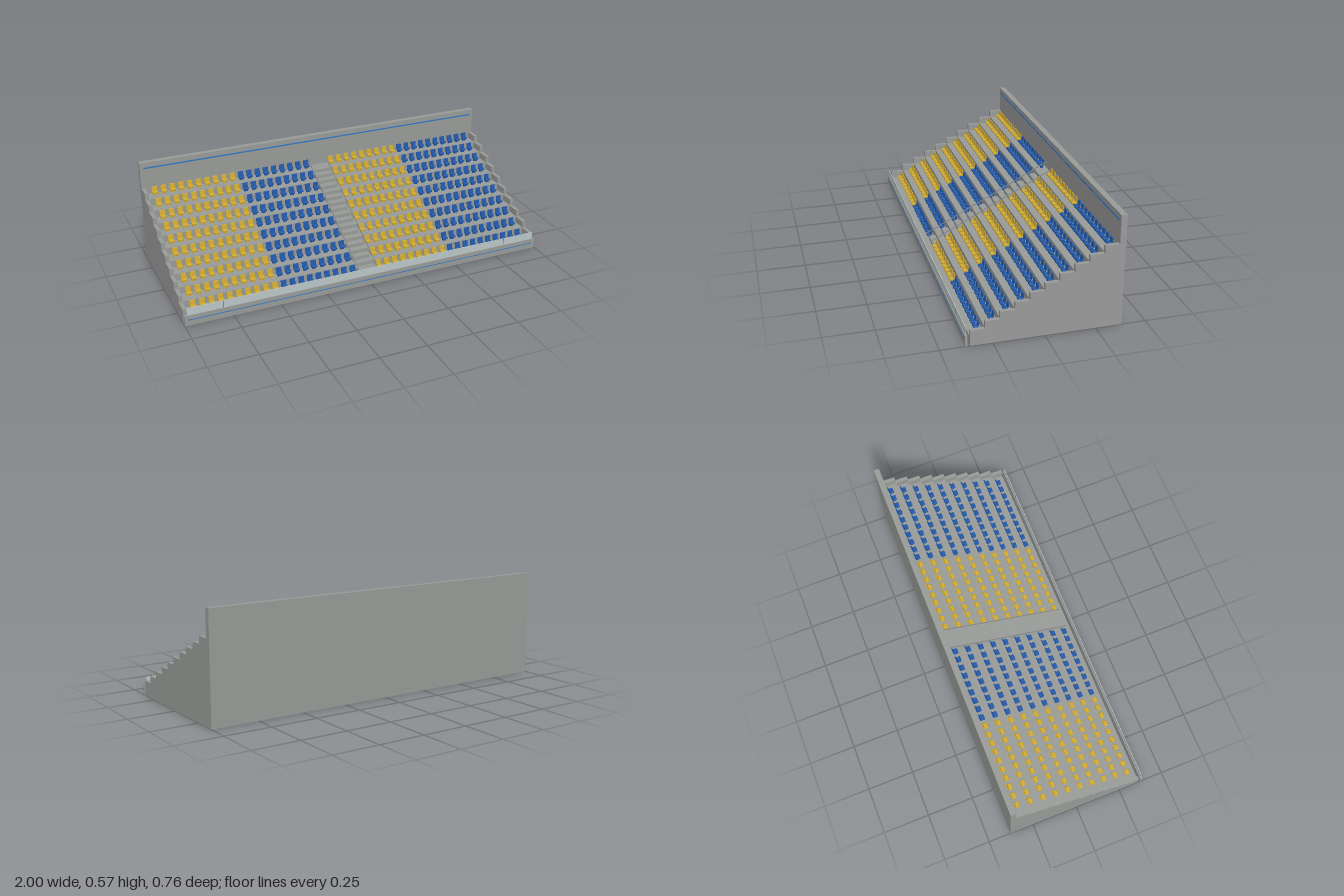
import * as THREE from 'three';
import { mergeGeometries } from 'three/addons/utils/BufferGeometryUtils.js';
import { RoundedBoxGeometry } from 'three/addons/geometries/RoundedBoxGeometry.js';

const ROWS = 10, FRONT = 0.357, DEPTH = 0.0707, RISE = 0.0382;
const BACK = FRONT - ROWS * DEPTH;
const WALL_TOP = 0.08;   // first step of the side walls
const TREAD = 0.045;     // first tread under the seats

const material = (name, color) => {
  const m = new THREE.MeshStandardMaterial({ color });
  m.name = name;
  return m;
};

export function createModel() {
  const group = new THREE.Group();
  const concrete = material('concrete', 0x989a98);
  const yellow = material('seatYellow', 0xd0aa2c);
  const blue = material('seatBlue', 0x1f57a8);
  const stripeBlue = material('stripeBlue', 0x2f74c8);
  const glass = material('paleGlass', 0xbac6c6);
  const metal = material('metal', 0x85898a);

  const add = (name, geometry, mat) => {
    const mesh = new THREE.Mesh(geometry, mat);
    mesh.name = name;
    group.add(mesh);
    return mesh;
  };
  const box = (w, h, d, x, y, z) => new THREE.BoxGeometry(w, h, d).translate(x, y, z);

  // Stepped profile extruded across x
  const stepped = (base, x0, x1) => {
    const s = new THREE.Shape();
    s.moveTo(-FRONT, 0);
    for (let i = 0; i < ROWS; i++) {
      s.lineTo(-FRONT + i * DEPTH, base + i * RISE);
      s.lineTo(-FRONT + (i + 1) * DEPTH, base + i * RISE);
    }
    s.lineTo(-BACK, 0);
    s.closePath();
    return new THREE.ExtrudeGeometry(s, { depth: x1 - x0, bevelEnabled: false })
      .rotateY(Math.PI / 2).translate(x0, 0, 0);
  };
  add('terrace', stepped(TREAD, -0.98, 0.98), concrete);
  add('sideWallRight', stepped(WALL_TOP, -1, -0.98), concrete);
  add('sideWallLeft', stepped(WALL_TOP, 0.98, 1), concrete);

  // Back wall with its painted stripe
  add('backWall', box(2, 0.567, 0.03, 0, 0.2835, -0.365), concrete);
  add('backWallStripe', box(1.96, 0.007, 0.002, 0, 0.537, -0.349), stripeBlue);

  // Front barrier, glass screen and posts
  add('frontBarrier', box(2, 0.055, 0.012, 0, 0.0275, 0.375), concrete);
  add('frontBarrierStripe', box(1.96, 0.004, 0.001, 0, 0.031, 0.3815), stripeBlue);
  add('glassScreen', box(1.97, 0.04, 0.003, 0, 0.075, 0.375), glass);
  for (const x of [-0.8, 0.8]) add('screenPost', box(0.004, 0.04, 0.005, x, 0.075, 0.375), metal);

  // Half steps in the central aisle
  const steps = [];
  for (let i = 0; i < ROWS - 1; i++) {
    const y = TREAD + i * RISE, z = FRONT - (i + 1) * DEPTH;
    steps.push(box(0.1, RISE / 2, DEPTH / 2, 0, y + RISE / 4, z + DEPTH / 4));
  }
  add('aisleSteps', mergeGeometries(steps), concrete);

  // Sloping handrails on both sides of the aisle
  const z0 = 0.335, z1 = -0.35, y0 = 0.078, y1 = 0.43;
  const length = Math.hypot(z0 - z1, y1 - y0);
  for (const x of [-0.053, 0.053]) {
    const rail = add('aisleHandrail', new THREE.BoxGeometry(0.004, 0.004, length), metal);
    rail.position.set(x, (y0 + y1) / 2, (z0 + z1) / 2);
    rail.rotation.x = Math.atan2(y1 - y0, z0 - z1);
  }

  // One seat: pan, leaning backrest and foot
  const seat = mergeGeometries([
    new RoundedBoxGeometry(0.03, 0.011, 0.024, 1, 0.003).translate(0, 0.016, 0.004),
    new RoundedBoxGeometry(0.03, 0.028, 0.006, 1, 0.0025).rotateX(-0.15).translate(0, 0.031, -0.009),
    new RoundedBoxGeometry(0.02, 0.014, 0.012, 1, 0.001).translate(0, 0.006, 0),
  ]);

  // Rows of seats, in yellow and blue blocks on each side of the aisle
  const seats = { yellow: [], blue: [] };
  for (let row = 0; row < ROWS; row++) {
    for (const side of [-1, 1]) {
      for (let i = 0; i < 19; i++) {
        const x = side * (0.075 + i * 0.0478);
        const isYellow = x < -0.48 || (x > 0 && x < 0.48);
        seats[isYellow ? 'yellow' : 'blue'].push(
          seat.clone().translate(x, TREAD + row * RISE, 0.312 - row * DEPTH));
      }
    }
  }
  add('yellowSeats', mergeGeometries(seats.yellow), yellow);
  add('blueSeats', mergeGeometries(seats.blue), blue);

  return group;
}
